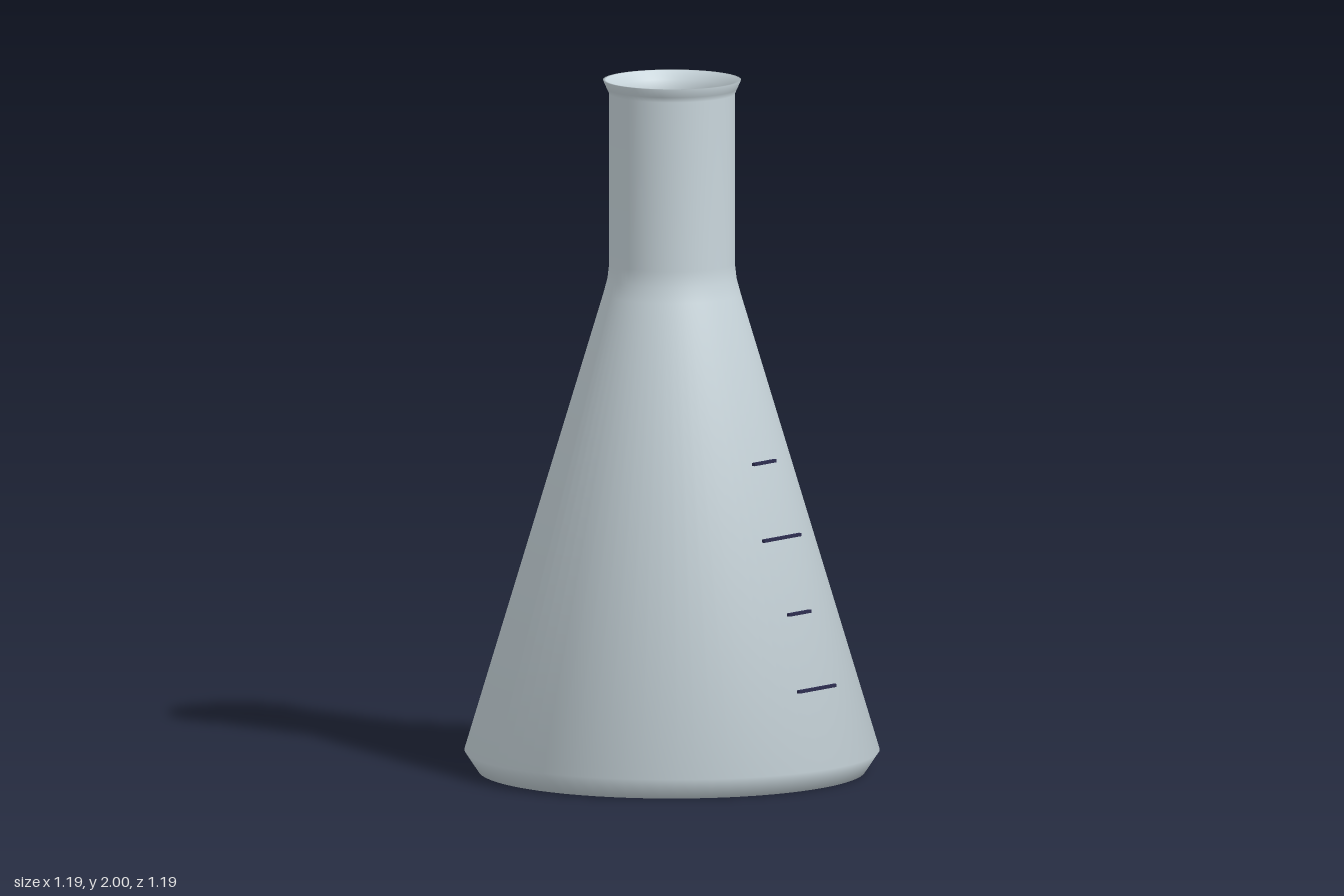
import * as THREE from 'three';

const SEGMENTS = 72;

function lathe(name, profile, material) {
  const points = profile.map(([r, y]) => new THREE.Vector2(r, y));
  const mesh = new THREE.Mesh(new THREE.LatheGeometry(points, SEGMENTS), material);
  mesh.name = name;
  return mesh;
}

// Radius of the outer cone wall at height y
const RIM = [0.595, 0.06], SHOULDER = [0.197, 1.38];
const coneRadius = (y) =>
  THREE.MathUtils.mapLinear(y, RIM[1], SHOULDER[1], RIM[0], SHOULDER[0]);

export function createModel() {
  const glass = new THREE.MeshStandardMaterial({ color: 0xc9d6dc });
  glass.name = 'pale glass';
  const teal = new THREE.MeshStandardMaterial({ color: 0x3cb8b0 });
  teal.name = 'teal liquid';
  const ink = new THREE.MeshStandardMaterial({ color: 0x2d2d50 });
  ink.name = 'dark ink';

  const flask = new THREE.Group();
  flask.name = 'flask';

  // Glass wall: up the outside, over the lip and down the inside
  const outer = [[0, 0], [0.555, 0], RIM, SHOULDER, [0.185, 1.425], [0.18, 1.47], [0.18, 1.96], [0.187, 1.975], [0.198, 2]];
  const inner = [[0.19, 2], [0.172, 1.975], [0.157, 1.94], [0.157, 1.46], [0.172, 1.37], [0.565, 0.065], [0.535, 0.035], [0, 0.035]];
  const profile = [...outer, ...inner];
  const body = lathe('glassBody', profile, glass);

  // Soften the base edge so that its bevel blends into the cone
  const normals = body.geometry.attributes.normal;
  const rimIndex = profile.indexOf(RIM);
  for (let i = 0; i <= SEGMENTS; i++) {
    const a = (i / SEGMENTS) * Math.PI * 2;
    normals.setXYZ(i * profile.length + rimIndex, Math.sin(a) * 0.998, -0.06, Math.cos(a) * 0.998);
  }
  flask.add(body);

  // Liquid filling the lower cone, with a flat surface
  const level = 0.8;
  const surfaceRadius = coneRadius(level) - 0.03;
  flask.add(lathe('liquidBody', [[0, 0.04], [0.53, 0.04], [0.56, 0.07], [surfaceRadius, level]], teal));
  const surface = new THREE.Mesh(new THREE.CircleGeometry(surfaceRadius, SEGMENTS), teal);
  surface.name = 'liquidSurface';
  surface.rotation.x = -Math.PI / 2;
  surface.position.y = level;
  flask.add(surface);

  // Graduation marks on the front, alternately long and short
  const marks = new THREE.Group();
  marks.name = 'graduationMarks';
  [0.285, 0.498, 0.71, 0.922].forEach((y, i) => {
    const mark = new THREE.Mesh(new THREE.BoxGeometry(i % 2 ? 0.1 : 0.17, 0.009, 0.0095), ink);
    mark.name = i % 2 ? 'shortMark' : 'longMark';
    mark.position.set(0, y, coneRadius(y) + 0.003);
    marks.add(mark);
  });
  flask.add(marks);

  return flask;
}
